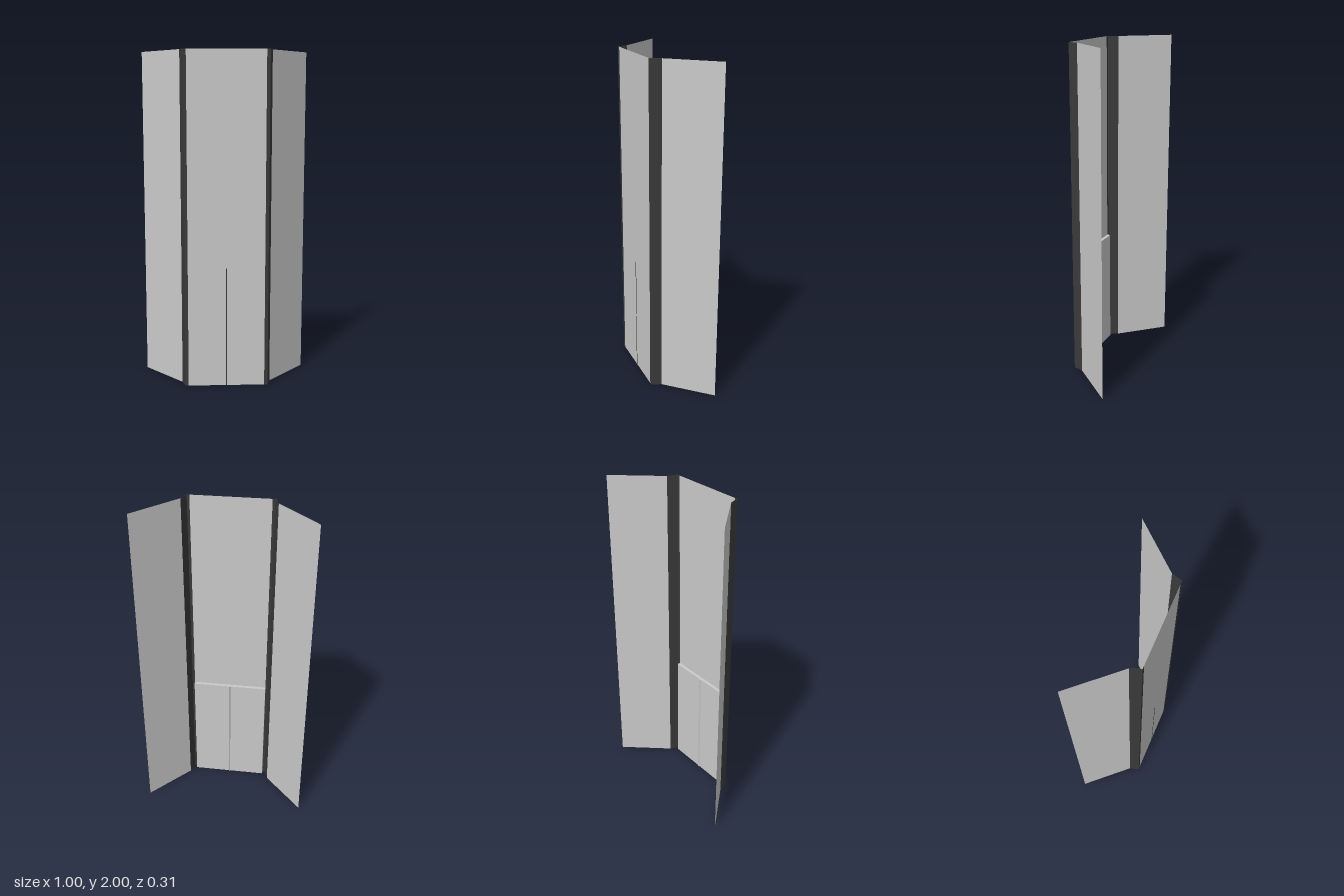
import * as THREE from 'three';

const HEIGHT = 2, DOOR = 0.73, FRONT = 0.157;

export function createModel() {
  const group = new THREE.Group();
  const panel = new THREE.MeshStandardMaterial({ name: 'light grey panel', color: 0xcacaca, side: THREE.DoubleSide });
  const dark = new THREE.MeshStandardMaterial({ name: 'dark frame', color: 0x3a3a3a, side: THREE.DoubleSide });

  const add = (name, geometry, material) => {
    const mesh = new THREE.Mesh(geometry, material);
    mesh.name = name;
    group.add(mesh);
    return mesh;
  };

  // Upright sheet between two plan points [x, z]
  const sheet = (name, a, b, y0, y1, material) => {
    const geometry = new THREE.PlaneGeometry(Math.hypot(b[0] - a[0], b[1] - a[1]), y1 - y0);
    geometry.rotateY(-Math.atan2(b[1] - a[1], b[0] - a[0]));
    geometry.translate((a[0] + b[0]) / 2, (y0 + y1) / 2, (a[1] + b[1]) / 2);
    return add(name, geometry, material);
  };

  // Upright prism over a plan outline of [x, z] points
  const prism = (name, plan, height, material) => {
    const shape = new THREE.Shape(plan.map(([x, z]) => new THREE.Vector2(x, -z)));
    const geometry = new THREE.ExtrudeGeometry(shape, { depth: height, bevelEnabled: false });
    geometry.rotateX(-Math.PI / 2);
    return add(name, geometry, material);
  };

  // Upper panel, a thin sheet flush with the door front
  sheet('upperPanel', [-0.23, FRONT], [0.23, FRONT], DOOR, HEIGHT, panel);

  // Door slab, thicker than the panel towards the back
  add('doorSlab', new THREE.BoxGeometry(0.46, DOOR, 0.02).translate(0, DOOR / 2, FRONT - 0.01), panel);

  // Seam between the door leaves: narrow front line and a small ridge behind
  add('doorSeam', new THREE.BoxGeometry(0.006, DOOR, 0.001).translate(0, DOOR / 2, FRONT + 0.0005), dark);
  prism('doorRidge', [[-0.005, 0.137], [0.005, 0.137], [0, 0.128]], DOOR, panel);

  for (const [side, s] of [['left', 1], ['right', -1]]) {
    // Angled wing wall
    const inner = [s * 0.268, 0.097], outer = [s * 0.5, -0.157];
    if (s > 0) sheet(side + 'Wing', inner, outer, 0, HEIGHT, panel);
    else sheet(side + 'Wing', outer, inner, 0, HEIGHT, panel);

    // Tapered post and the narrow trim that joins it to the panel
    const plan = [[s * 0.268, 0.097], [s * 0.25, 0.158], [s * 0.245, 0.158]];
    prism(side + 'Post', plan, HEIGHT, dark);
    const trim = [[s * 0.23, FRONT], [s * 0.247, FRONT]];
    if (s < 0) trim.reverse();
    sheet(side + 'Trim', trim[0], trim[1], 0, HEIGHT, dark);
  }
  return group;
}
